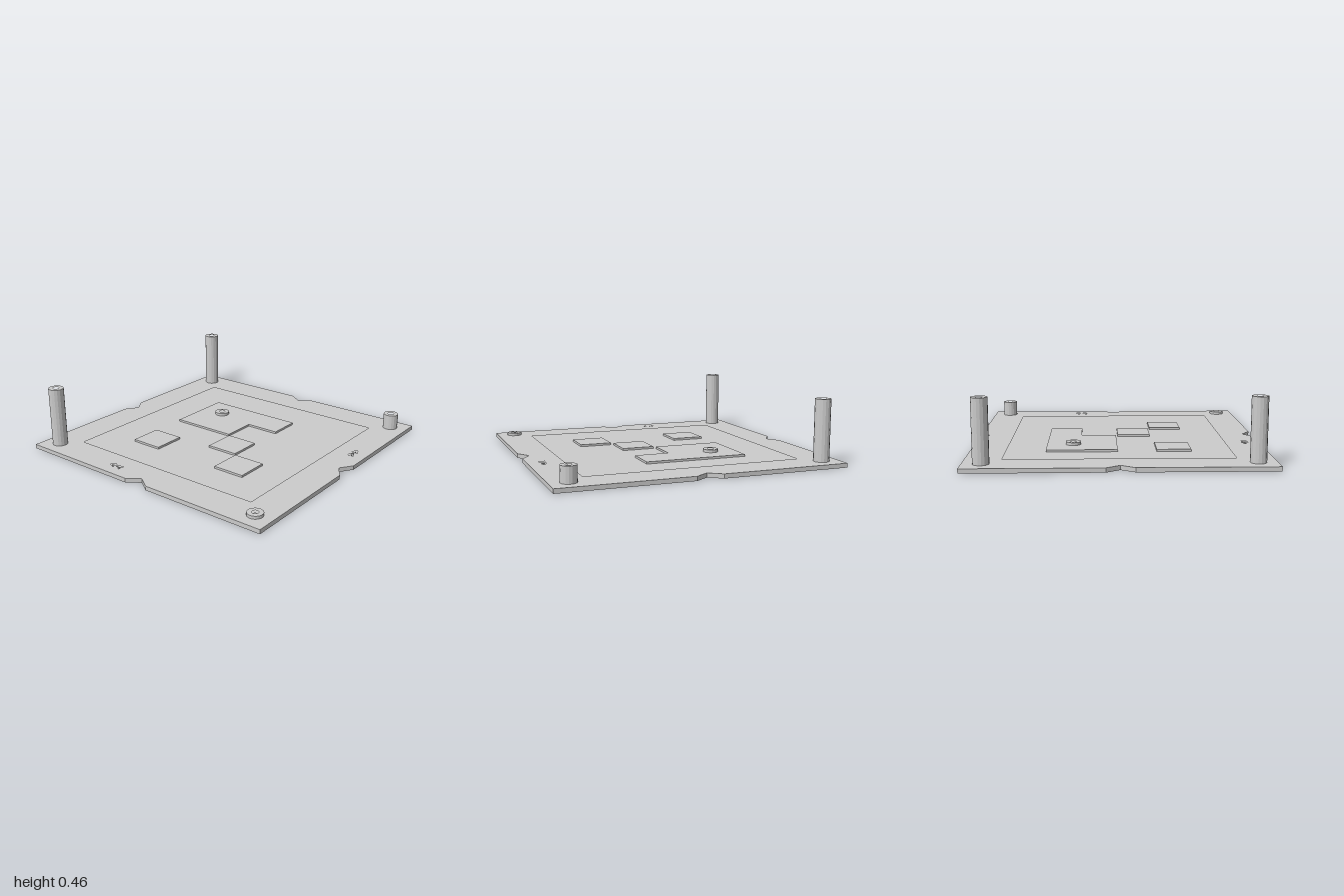
import * as THREE from 'three';

const FLOOR = 0.015, TOP = 0.03;        // recess floor and plate surface heights
const POST = 0.875, OUTER = 0.054, BORE = 0.022, SIDES = 16;

// Plan coordinates are [x, z]; shapes are drawn with y = -z and laid flat.
const toPoints = (pts) => pts.map(([x, z]) => new THREE.Vector2(x, -z));
const rect = (x0, z0, x1, z1) => [[x0, z0], [x1, z0], [x1, z1], [x0, z1]];
const ring = (x, z, r) => Array.from({ length: SIDES }, (_, i) => {
  const a = ((i + 0.5) / SIDES) * Math.PI * 2;
  return [x + r * Math.cos(a), z + r * Math.sin(a)];
});

export function createModel() {
  const model = new THREE.Group();
  model.name = 'mountingPlate';
  const material = new THREE.MeshStandardMaterial({ color: 0xcccccc, flatShading: true });

  // Extrude a plan outline, with holes, between two heights
  function slab(name, outline, y0, y1, holes = []) {
    const shape = new THREE.Shape(toPoints(outline));
    shape.holes = holes.map((h) => new THREE.Path(toPoints(h)));
    const geometry = new THREE.ExtrudeGeometry(shape, { depth: y1 - y0, bevelEnabled: false });
    geometry.rotateX(-Math.PI / 2).translate(0, y0, 0);
    const mesh = new THREE.Mesh(geometry, material);
    mesh.name = name;
    model.add(mesh);
  }

  // Square outline with a V notch in the middle of each edge
  const outline = [];
  for (let i = 0; i < 4; i++) {
    const c = [1, 0, -1, 0][i], s = [0, 1, 0, -1][i];
    for (const [x, z] of [[-1, -1], [-0.093, -1], [0, -0.937], [0.093, -1]]) {
      outline.push([x * c - z * s, x * s + z * c]);
    }
  }

  // Corner posts: x side, z side, top height
  const posts = [
    ['backRightPost', -1, -1, 0.455],
    ['backLeftPost', 1, -1, 0.455],
    ['frontLeftPost', 1, 1, 0.14],
    ['frontRightPost', -1, 1, 0.05],
  ];
  const bores = posts.map(([, sx, sz]) => ring(sx * POST, sz * POST, BORE));

  // Engraved direction arrows along the front and right edges
  const chevron = (x) => [[x, 0.023], [x, 0.009], [x + 0.026, 0], [x, -0.009],
    [x, -0.023], [x + 0.042, -0.005], [x + 0.042, 0.005]];
  const arrows = [];
  for (const x of [0.228, 0.286]) {
    arrows.push(chevron(x).map(([u, v]) => [u, 0.897 + v]));
    arrows.push(chevron(x).map(([u, v]) => [-0.9 + v, -u]));
  }

  // Plate: bottom layer, then the upper layer that frames the recess
  slab('plateBase', outline, 0, FLOOR, [...bores, ring(0.31, -0.313, BORE)]);
  slab('plateFrame', outline, FLOOR, TOP,
    [rect(-0.757, -0.757, 0.757, 0.757), ...bores, ...arrows]);

  // Raised pads inside the recess
  slab('backPad', rect(-0.495, -0.497, -0.26, -0.262), FLOOR, TOP);
  slab('middlePad', rect(-0.245, 0.005, -0.008, 0.24), FLOOR, TOP);
  slab('frontPad', rect(-0.495, 0.255, -0.26, 0.49), FLOOR, TOP);
  slab('angledPad', [[0.005, -0.497], [0.492, -0.497], [0.492, 0.24],
    [0.257, 0.24], [0.257, -0.01], [0.005, -0.01]], FLOOR, TOP);

  // Bored boss on the large pad and posts at the corners
  slab('boss', ring(0.31, -0.313, OUTER), TOP, 0.05, [ring(0.31, -0.313, BORE)]);
  posts.forEach(([name, sx, sz, top], i) => {
    slab(name, ring(sx * POST, sz * POST, OUTER), TOP, top, [bores[i]]);
  });

  return model;
}
